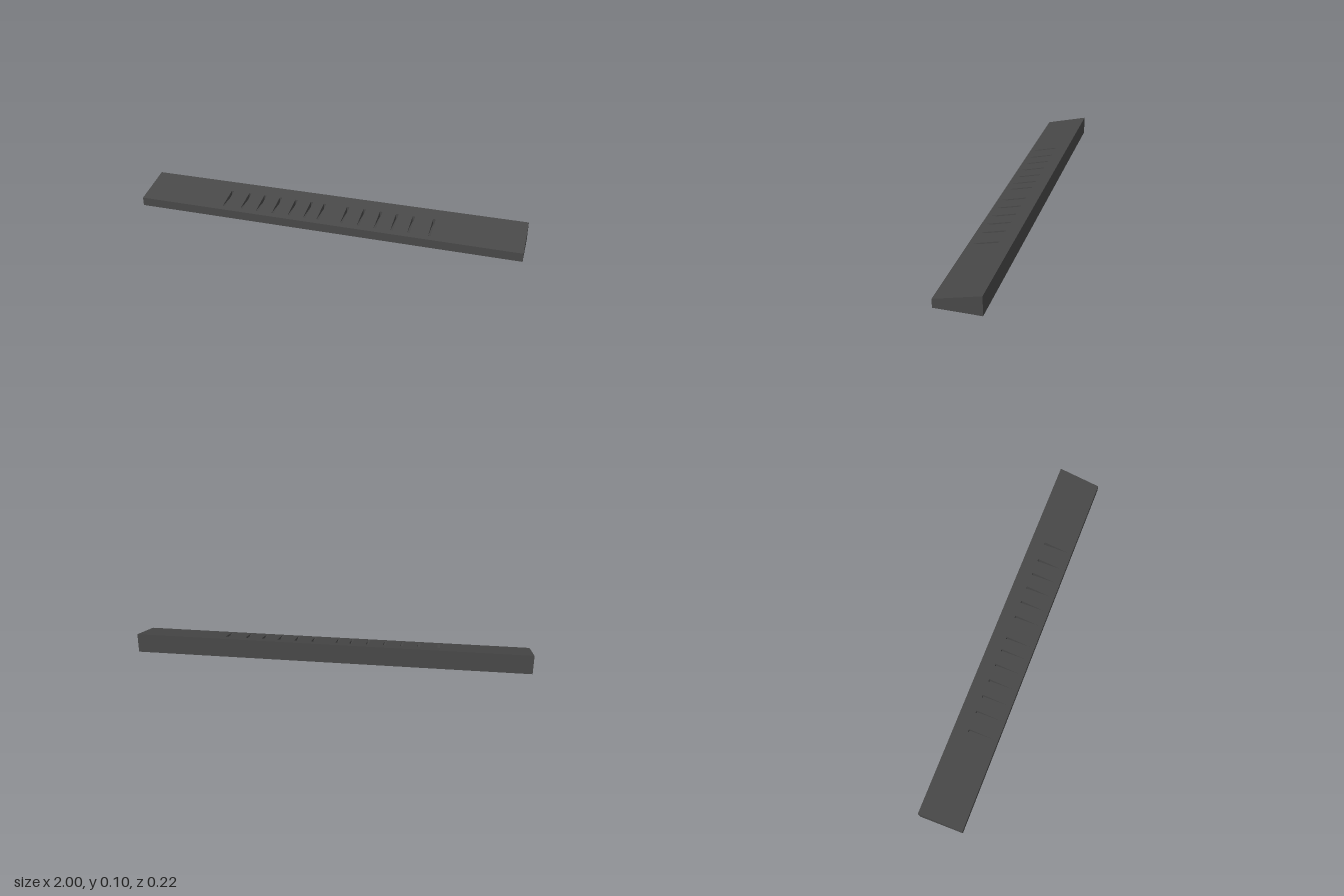
import * as THREE from 'three';

const HALF_X = 1, HALF_Z = 0.111, FRONT_Y = 0.044, BACK_Y = 0.098;
const SLOT_BACK = -0.04, SLOT_FRONT = 0.086, SLOT_HALF = 0.0065;
const SLOTS = [-0.54, -0.44, -0.354, -0.267, -0.18, -0.096, -0.025, 0.1, 0.187, 0.274, 0.358, 0.443, 0.547];

// Height of the sloping top at depth z
const topY = z => FRONT_Y + (HALF_Z - z) / (2 * HALF_Z) * (BACK_Y - FRONT_Y);

const material = new THREE.MeshStandardMaterial({ color: 0x484848, side: THREE.DoubleSide, flatShading: true });

// Flat convex panel, corners counter-clockwise as seen from its front
function panel(name, ...corners) {
  const geometry = new THREE.BufferGeometry();
  const points = [];
  for (let i = 1; i < corners.length - 1; i++) points.push(...corners[0], ...corners[i], ...corners[i + 1]);
  geometry.setAttribute('position', new THREE.Float32BufferAttribute(points, 3));
  geometry.computeVertexNormals();
  const mesh = new THREE.Mesh(geometry, material);
  mesh.name = name;
  return mesh;
}

function rectangle(Type, x0, x1, z0, z1) {
  return new Type([[x0, -z1], [x1, -z1], [x1, -z0], [x0, -z0]].map(p => new THREE.Vector2(...p)));
}

// Sloping top sheet, pierced by the slots
function slottedTop() {
  const shape = rectangle(THREE.Shape, -HALF_X, HALF_X, -HALF_Z, HALF_Z);
  for (const x of SLOTS) {
    shape.holes.push(rectangle(THREE.Path, x - SLOT_HALF, x + SLOT_HALF, SLOT_BACK, SLOT_FRONT));
  }
  const geometry = new THREE.ShapeGeometry(shape).rotateX(-Math.PI / 2);
  const pos = geometry.attributes.position;
  for (let i = 0; i < pos.count; i++) pos.setY(i, topY(pos.getZ(i)));
  geometry.computeVertexNormals();
  const mesh = new THREE.Mesh(geometry, material);
  mesh.name = 'slopingTop';
  return mesh;
}

// Wedge-shaped pocket below a slot: level floor, upright back, triangular sides
function slotPocket(x) {
  const group = new THREE.Group();
  group.name = 'slotPocket';
  const a = x - SLOT_HALF, b = x + SLOT_HALF;
  const low = topY(SLOT_FRONT), high = topY(SLOT_BACK);
  group.add(
    panel('pocketFloor', [a, low, SLOT_FRONT], [b, low, SLOT_FRONT], [b, low, SLOT_BACK], [a, low, SLOT_BACK]),
    panel('pocketBack', [a, low, SLOT_BACK], [b, low, SLOT_BACK], [b, high, SLOT_BACK], [a, high, SLOT_BACK]),
    panel('pocketRightSide', [a, low, SLOT_FRONT], [a, low, SLOT_BACK], [a, high, SLOT_BACK]),
    panel('pocketLeftSide', [b, low, SLOT_FRONT], [b, high, SLOT_BACK], [b, low, SLOT_BACK])
  );
  return group;
}

export function createModel() {
  const model = new THREE.Group();
  model.name = 'slottedWedgeCover';
  const X = HALF_X, Z = HALF_Z;
  model.add(
    slottedTop(),
    // Thin outer walls, open underneath
    panel('frontWall', [-X, 0, Z], [X, 0, Z], [X, FRONT_Y, Z], [-X, FRONT_Y, Z]),
    panel('backWall', [X, 0, -Z], [-X, 0, -Z], [-X, BACK_Y, -Z], [X, BACK_Y, -Z]),
    panel('leftEnd', [X, 0, Z], [X, 0, -Z], [X, BACK_Y, -Z], [X, FRONT_Y, Z]),
    panel('rightEnd', [-X, 0, -Z], [-X, 0, Z], [-X, FRONT_Y, Z], [-X, BACK_Y, -Z])
  );
  for (const x of SLOTS) model.add(slotPocket(x));
  return model;
}
